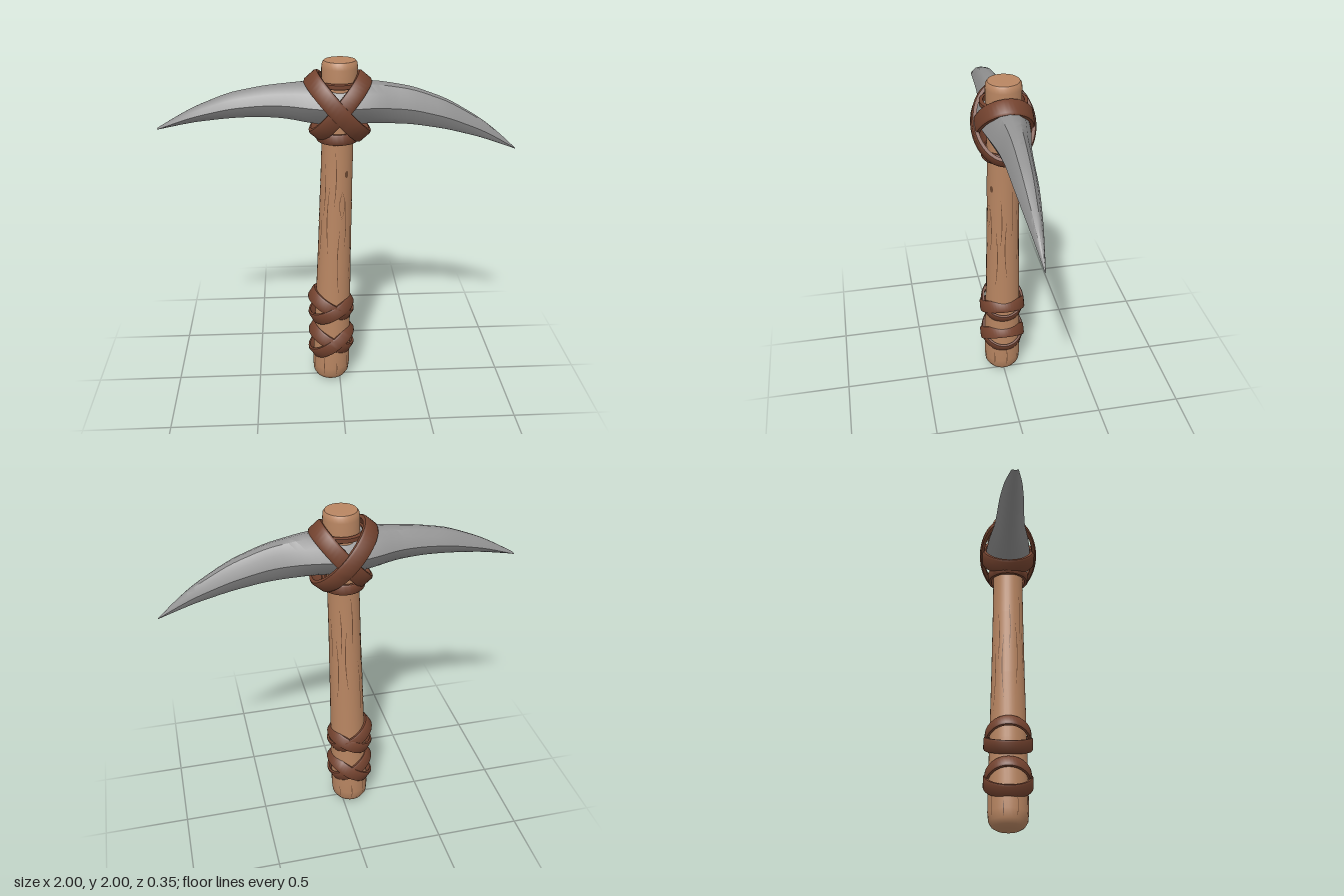
import * as THREE from 'three';
import { toCreasedNormals } from 'three/addons/utils/BufferGeometryUtils.js';

const mat = (name, color) => {
  const m = new THREE.MeshStandardMaterial({ color });
  m.name = name;
  return m;
};

// Linear interpolation through [key, value] pairs
function interp(table, k) {
  for (let i = 1; i < table.length; i++) {
    const [k0, v0] = table[i - 1], [k1, v1] = table[i];
    if (k <= k1) return v0 + (v1 - v0) * Math.max(0, (k - k0) / (k1 - k0));
  }
  return table[table.length - 1][1];
}

// Skin a list of closed cross-sections (arrays of Vector3)
function loft(rings, closed, crease) {
  const n = rings[0].length, pos = [], idx = [];
  rings.forEach(r => r.forEach(p => pos.push(p.x, p.y, p.z)));
  const count = closed ? rings.length : rings.length - 1;
  for (let i = 0; i < count; i++) {
    const i2 = (i + 1) % rings.length;
    for (let j = 0; j < n; j++) {
      const j2 = (j + 1) % n;
      const a = i * n + j, b = i * n + j2, c = i2 * n + j2, d = i2 * n + j;
      idx.push(a, b, c, a, c, d);
    }
  }
  const g = new THREE.BufferGeometry();
  g.setAttribute('position', new THREE.Float32BufferAttribute(pos, 3));
  g.setIndex(idx);
  return toCreasedNormals(g, crease);
}

// Handle: radius by height, with a slight sideways lean
const shaft = [[0.05, 0.107], [0.1, 0.112], [0.25, 0.111], [0.5, 0.105], [0.9, 0.097],
  [1.3, 0.091], [1.55, 0.089], [1.8, 0.095], [1.96, 0.099]];
const lean = y => -0.055 + 0.0285 * y;

function handleGeometry() {
  const pts = [[0, 0], [0.06, 0.005], [0.09, 0.022], ...shaft.map(([y, r]) => [r, y]),
    [0.096, 1.985], [0.087, 1.998], [0, 2]];
  const g = new THREE.LatheGeometry(pts.map(p => new THREE.Vector2(...p)), 32);
  const p = g.attributes.position;
  for (let i = 0; i < p.count; i++) p.setX(i, p.getX(i) + lean(p.getY(i)));
  return toCreasedNormals(g, 0.7);
}

// Lay a flat geometry on the handle surface; bend(y) shifts it sideways
function wrapOnHandle(g, angle, y0, bend = () => 0) {
  const p = g.attributes.position;
  for (let i = 0; i < p.count; i++) {
    const y = y0 + p.getY(i), r = interp(shaft, y) + 0.0015;
    const th = angle + (p.getX(i) + bend(p.getY(i))) / r;
    p.setXYZ(i, lean(y) + r * Math.sin(th), y, r * Math.cos(th));
  }
  g.computeVertexNormals();
  return g;
}

function grainGeometry(angle, y0, y1, amp, width = 0.005) {
  const len = y1 - y0;
  const g = new THREE.PlaneGeometry(width, len, 1, 24);
  const p = g.attributes.position;
  for (let i = 0; i < p.count; i++) {
    const t = p.getY(i) / len;
    p.setX(i, p.getX(i) * (1 - 3.6 * t * t));
  }
  return wrapOnHandle(g, angle, (y0 + y1) / 2, y => amp * Math.cos((y / len) * Math.PI));
}

// Blade tables over x: top edge, bottom edge, half depth
const bladeTop = [[-1, 1.635], [-0.9, 1.695], [-0.8, 1.75], [-0.6, 1.83], [-0.4, 1.867], [-0.2, 1.885],
  [0, 1.89], [0.2, 1.885], [0.4, 1.85], [0.6, 1.775], [0.8, 1.655], [0.9, 1.575], [1, 1.482]];
const bladeLow = [[-1, 1.628], [-0.8, 1.667], [-0.6, 1.687], [-0.45, 1.692], [-0.3, 1.682], [-0.15, 1.65],
  [0, 1.635], [0.15, 1.648], [0.4, 1.635], [0.6, 1.602], [0.8, 1.55], [1, 1.478]];
const bladeDepth = [[-1, 0.018], [-0.8, 0.048], [-0.6, 0.068], [-0.4, 0.08], [-0.28, 0.092], [-0.18, 0.118],
  [0, 0.14], [0.18, 0.115], [0.28, 0.09], [0.4, 0.076], [0.6, 0.062], [0.8, 0.036], [1, 0.002]];

function bladeGeometry() {
  // Half section: [depth fraction, height fraction] from top to bottom
  const half = [[0, 1], [0.42, 0.95], [0.75, 0.77], [1, 0.47], [0.72, 0.22], [0.36, 0.04], [0, 0]];
  const section = [...half, ...half.slice(1, -1).reverse().map(([z, y]) => [-z, y])];
  const smooth = (table, x) => {
    // Averaging nearby samples rounds off the table's corners
    const d = Math.min(0.05, 1 - Math.abs(x));
    return (interp(table, x - d) + 2 * interp(table, x) + interp(table, x + d)) / 4;
  };
  const rings = [];
  for (let i = 0; i <= 48; i++) {
    const x = -1 + i / 24;
    const top = smooth(bladeTop, x), low = smooth(bladeLow, x), depth = smooth(bladeDepth, x);
    rings.push(section.map(([z, y]) => new THREE.Vector3(x, low + (top - low) * y, z * depth)));
  }
  return loft(rings, false, 0.62);
}

// Flat leather band: an elliptical loop whose ends sit at (x0,y0) and (x1,y1)
function strapGeometry(x0, y0, x1, y1, depth, width, thick) {
  const u = new THREE.Vector3(x1 - x0, y1 - y0, 0);
  const a = u.length() / 2;
  u.normalize();
  const w = new THREE.Vector3(-u.y, u.x, 0);
  const z = new THREE.Vector3(0, 0, 1);
  const centre = new THREE.Vector3((x0 + x1) / 2, (y0 + y1) / 2, 0);
  const h = width / 2, t = thick;
  const section = [[0, -h], [t * 0.7, -h], [t, -h * 0.75], [t, h * 0.75], [t * 0.7, h], [0, h]];
  const rings = [];
  for (let i = 0; i < 48; i++) {
    const ang = (i / 48) * Math.PI * 2, c = Math.cos(ang), s = Math.sin(ang);
    const n = u.clone().multiplyScalar(c / a).addScaledVector(z, s / depth).normalize();
    const base = centre.clone().addScaledVector(u, a * c).addScaledVector(z, depth * s);
    rings.push(section.map(([o, v]) => base.clone().addScaledVector(n, o).addScaledVector(w, v)));
  }
  return loft(rings, true, 0.8);
}

export function createModel() {
  const wood = mat('wood', 0xb98662);
  const grain = mat('wood grain', 0x6e4a33);
  const metal = mat('grey metal', 0x929292);
  const leather = mat('brown leather', 0x74432f);

  const model = new THREE.Group();
  model.name = 'pickaxe';
  const add = (name, geometry, material, parent = model) => {
    const mesh = new THREE.Mesh(geometry, material);
    mesh.name = name;
    parent.add(mesh);
  };
  const group = name => {
    const g = new THREE.Group();
    g.name = name;
    model.add(g);
    return g;
  };

  add('handle', handleGeometry(), wood);
  add('blade', bladeGeometry(), metal);

  // Wood grain lines around the handle, and one knot
  const lines = group('woodGrain');
  for (let i = 0; i < 9; i++) {
    const angle = (i / 9) * Math.PI * 2 + 0.25;
    const y = 0.62 + (i * 0.37) % 0.3;
    add('grainLine', grainGeometry(angle, y, y + 0.42, 0.012 * (i % 2 ? 1 : -1)), grain, lines);
    add('grainLine', grainGeometry(angle + 0.3, y + 0.3, y + 0.62, 0.008), grain, lines);
    add('grainLine', grainGeometry(angle, 0.06, 0.14 + (i % 3) * 0.03, 0.003), grain, lines);
  }
  for (const side of [-1, 1])
    add('grainLoop', grainGeometry(0.35, 1.1, 1.27, 0.016 * side, 0.004), grain, lines);
  add('knot', wrapOnHandle(new THREE.CircleGeometry(0.015, 12).scale(0.8, 1.4, 1), 0.6, 1.37), grain, lines);

  // Crossed bands tying the blade to the handle
  const binding = group('headBinding');
  add('crossStrap', strapGeometry(-0.148, 1.9, 0.127, 1.59, 0.148, 0.095, 0.026), leather, binding);
  add('crossStrap', strapGeometry(-0.125, 1.595, 0.13, 1.898, 0.138, 0.09, 0.026), leather, binding);
  add('lowerRing', strapGeometry(-0.11, 1.582, 0.09, 1.582, 0.102, 0.06, 0.02), leather, binding);
  add('upperRing', strapGeometry(-0.11, 1.878, 0.11, 1.878, 0.11, 0.03, 0.02), leather, binding);

  // Crossed bands of the grip: left and right end heights
  const grip = group('gripWrap');
  [[0.585, 0.455], [0.435, 0.545], [0.35, 0.22], [0.19, 0.345]].forEach(([yl, yr], i) =>
    add('gripStrap', strapGeometry(-0.16, yl, 0.057, yr, 0.113 + 0.007 * (i % 2), 0.075, 0.018), leather, grip));

  return model;
}
